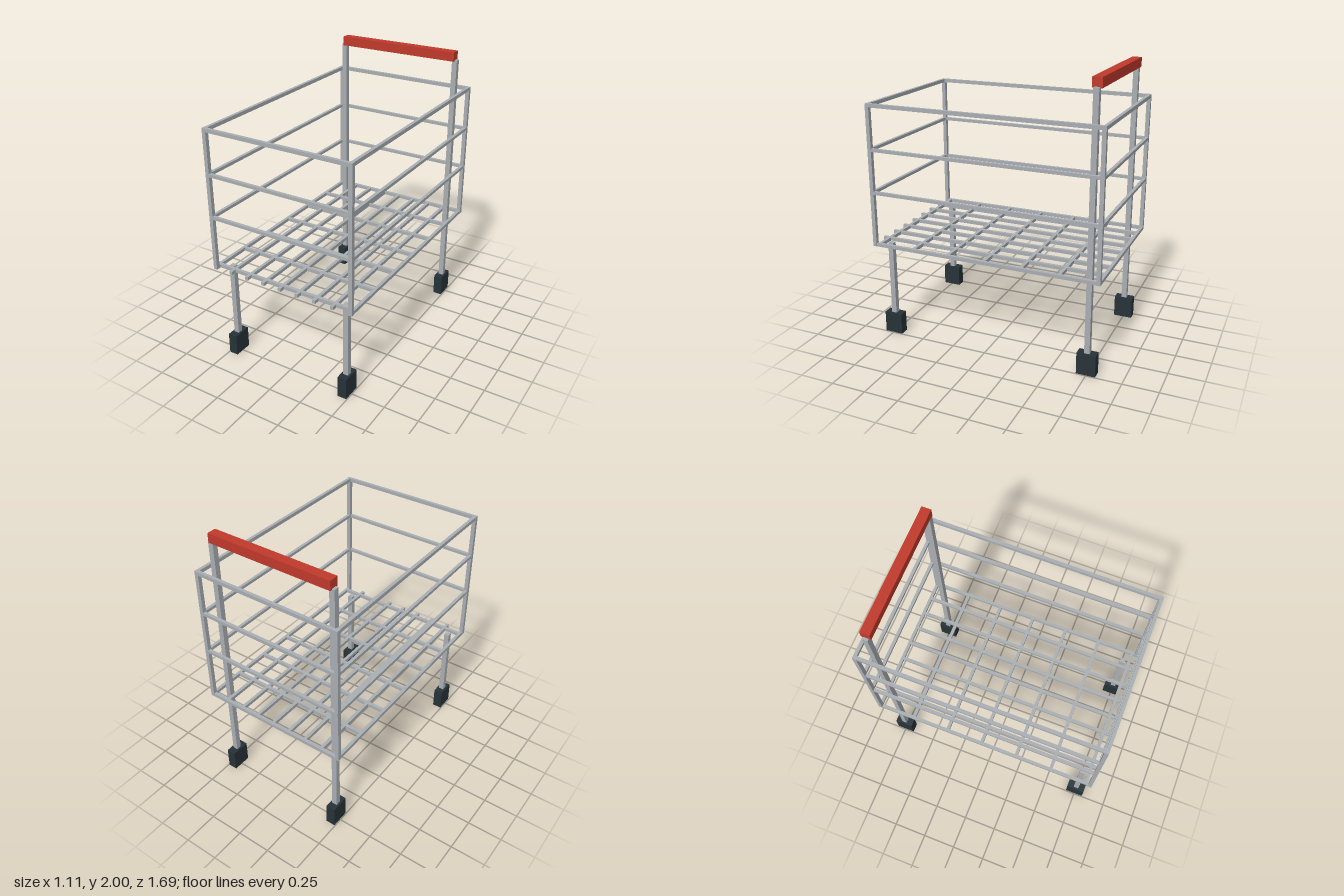
import * as THREE from 'three';

export function createModel() {
  const cart = new THREE.Group();
  cart.name = 'shoppingCart';

  const material = (name, color) => {
    const m = new THREE.MeshStandardMaterial({ color });
    m.name = name;
    return m;
  };
  const steel = material('steelGrey', 0xa9aeb2);
  const red = material('handleRed', 0xc0392b);
  const dark = material('wheelDark', 0x263238);

  const group = (name) => {
    const g = new THREE.Group();
    g.name = name;
    cart.add(g);
    return g;
  };
  const box = (parent, name, mat, w, h, d, x, y, z) => {
    const mesh = new THREE.Mesh(new THREE.BoxGeometry(w, h, d), mat);
    mesh.name = name;
    mesh.position.set(x, y, z);
    parent.add(mesh);
  };

  const W = 0.54, L = 0.832;        // basket half sizes, to bar centres
  const wire = 0.023, post = 0.028; // bar thicknesses

  // Basket floor: lengthwise wires and cross wires in one plane
  const floor = group('basketFloor');
  for (let i = -4; i <= 4; i++) {
    box(floor, 'lengthWire', steel, wire, 0.024, 2 * L + wire, i * W / 4, 0.712, 0);
  }
  for (let i = 0; i < 7; i++) {
    box(floor, 'crossWire', steel, 2 * W + wire, 0.024, wire, 0, 0.712, -L + i * 0.271);
  }

  // Basket sides: three rails on every side
  const rails = group('basketRails');
  for (const [y, t] of [[1.098, 0.022], [1.407, 0.022], [1.717, 0.026]]) {
    for (const s of [-1, 1]) {
      box(rails, 'sideRail', steel, wire, t, 2 * L + wire, s * W, y, 0);
      box(rails, 'endRail', steel, 2 * W + wire, t, wire, 0, y, s * L);
    }
  }

  // Corner posts, legs and wheels
  const posts = group('cornerPosts');
  const legs = group('legs');
  const wheels = group('wheels');
  for (const sx of [-1, 1]) {
    for (const sz of [-1, 1]) {
      box(posts, 'cornerPost', steel, post, 1.03, post, sx * W, 1.215, sz * 0.829);
      // Rear legs run up to the handle
      const top = sz < 0 ? 1.94 : 0.71;
      box(legs, sz < 0 ? 'rearLeg' : 'frontLeg', steel,
        0.038, top - 0.15, 0.038, sx * 0.461, (top + 0.15) / 2, sz * 0.747);
      box(wheels, 'wheel', dark, 0.067, 0.157, 0.135, sx * 0.461, 0.0785, sz * 0.747);
    }
  }

  // Push handle
  box(cart, 'handle', red, 0.922, 0.067, 0.067, 0, 1.9665, -0.747);

  return cart;
}
